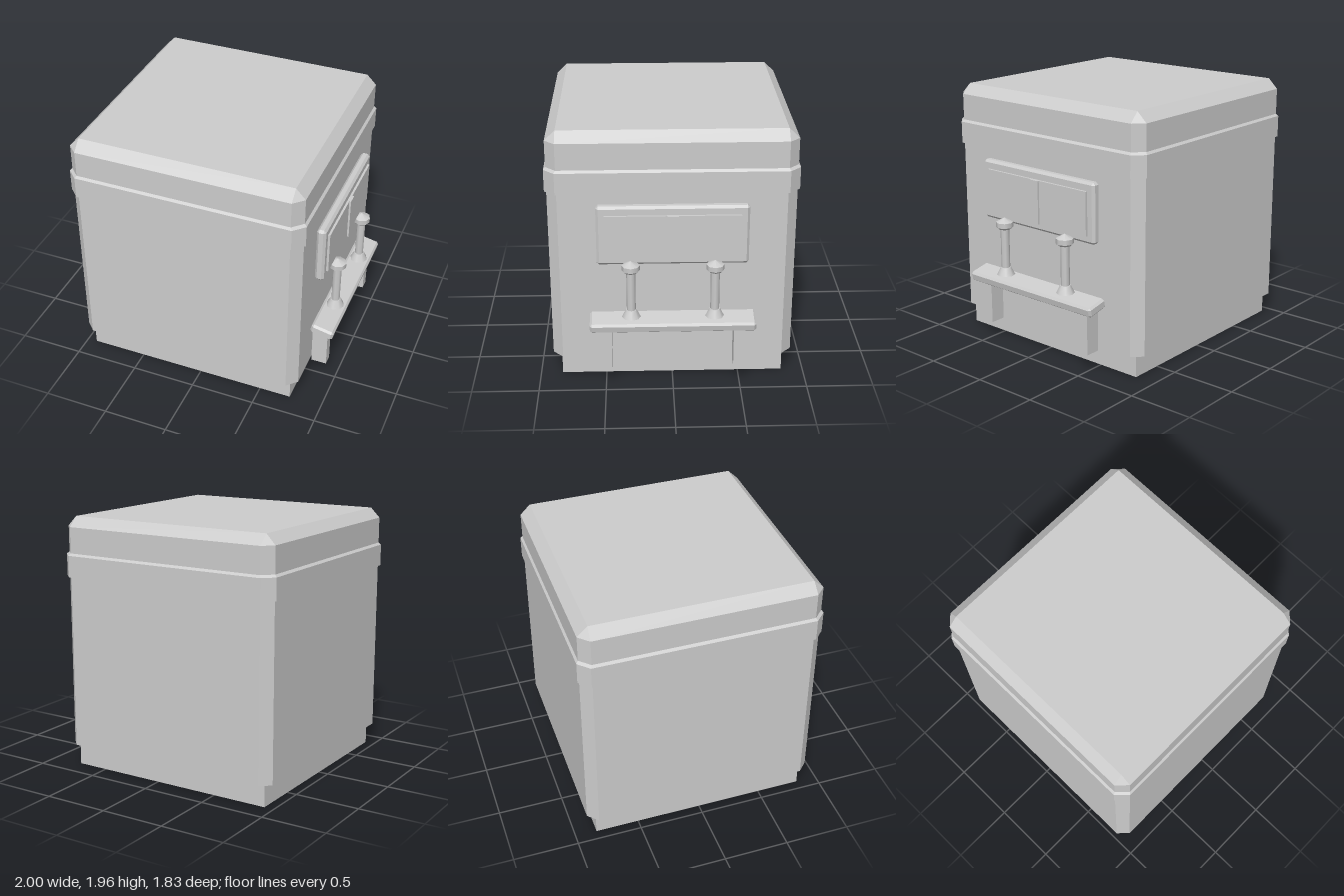
import * as THREE from 'three';

const CX = -0.09; // centre of the booth in x

// Flat-shaded stack of corner-cut rectangles; each row is [y, halfX, halfZ, cornerCut]
function loft(rows, capBottom, capTop) {
  const rings = rows.map(([y, x, z, c]) => [
    [x, z - c], [x, c - z], [x - c, -z], [c - x, -z],
    [-x, c - z], [-x, z - c], [c - x, z], [x - c, z],
  ].map(([px, pz]) => new THREE.Vector3(px, y, pz)));
  const pos = [];
  const tri = (a, b, c) => {
    const area = b.clone().sub(a).cross(c.clone().sub(a)).length();
    if (area > 1e-7) for (const v of [a, b, c]) pos.push(v.x, v.y, v.z);
  };
  for (let i = 0; i + 1 < rings.length; i++) {
    for (let k = 0; k < 8; k++) {
      const n = (k + 1) % 8, lo = rings[i], hi = rings[i + 1];
      tri(lo[k], lo[n], hi[n]);
      tri(lo[k], hi[n], hi[k]);
    }
  }
  const first = rings[0], last = rings[rings.length - 1];
  for (let k = 1; k < 7; k++) {
    if (capTop) tri(last[0], last[k], last[k + 1]);
    if (capBottom) tri(first[0], first[k + 1], first[k]);
  }
  const geo = new THREE.BufferGeometry();
  geo.setAttribute('position', new THREE.Float32BufferAttribute(pos, 3));
  geo.computeVertexNormals();
  return geo;
}

// Box with all edges bevelled by b
function bevelBox(w, h, d, b) {
  const x = w / 2, y = h / 2, z = d / 2;
  return loft([[-y, x - b, z - b, 0], [b - y, x, z, b], [y - b, x, z, b], [y, x - b, z - b, 0]], true, true);
}

export function createModel() {
  const model = new THREE.Group();
  model.name = 'booth';
  const grey = new THREE.MeshStandardMaterial({ color: 0xcccccc, side: THREE.DoubleSide });
  grey.name = 'light grey';

  const add = (name, geo, x, y, z, parent = model) => {
    const mesh = new THREE.Mesh(geo, grey);
    mesh.name = name;
    mesh.position.set(x, y, z);
    parent.add(mesh);
    return mesh;
  };

  // Hollow plinth and body, both open below
  add('plinth', loft([[0, 0.835, 0.835, 0], [0.175, 0.835, 0.835, 0]]), CX, 0, 0);
  add('body', loft([
    [0.175, 0.895, 0.9, 0.075], [1.88, 0.895, 0.9, 0.075], [1.955, 0.822, 0.822, 0],
  ], false, true), CX, 0, 0);

  // Band around the top of the walls
  add('band', loft([
    [1.5, 0.895, 0.9, 0.075], [1.5, 0.912, 0.915, 0.08],
    [1.665, 0.912, 0.915, 0.08], [1.682, 0.895, 0.9, 0.075],
  ]), CX, 0, 0);

  // Roof emblem: ring, disc and cross as thin inlays
  const ring = new THREE.RingGeometry(0.39, 0.485, 20).rotateX(-Math.PI / 2);
  add('roofRing', ring, CX, 1.957, 0);
  const disc = new THREE.CircleGeometry(0.39, 20).rotateX(-Math.PI / 2);
  add('roofDisc', disc, CX, 1.957, 0);
  const cross = new THREE.Shape();
  const a = 0.05, b = 0.313;
  [[a, a], [b, a], [b, -a], [a, -a], [a, -b], [-a, -b], [-a, -a], [-b, -a], [-b, a], [-a, a], [-a, b], [a, b]]
    .reverse()
    .forEach(([x, y], i) => (i ? cross.lineTo(x, y) : cross.moveTo(x, y)));
  add('roofCross', new THREE.ShapeGeometry(cross).rotateX(-Math.PI / 2), CX, 1.959, 0);

  // Side window with two panes and a centre bar
  const windowGroup = new THREE.Group();
  windowGroup.name = 'window';
  model.add(windowGroup);
  add('windowFrame', bevelBox(0.07, 0.455, 1.1, 0.018), 0.84, 1.2, 0, windowGroup);
  add('windowPanes', new THREE.BoxGeometry(0.03, 0.33, 0.98), 0.877, 1.197, 0, windowGroup);
  add('windowBar', new THREE.BoxGeometry(0.03, 0.33, 0.08), 0.891, 1.197, 0, windowGroup);

  // Tilted counter
  const counter = add('counter', bevelBox(0.178, 0.078, 1.22, 0.016), 0.902, 0.522, 0);
  counter.rotation.z = -0.21;

  // Counter legs and the two posts with pointed caps
  for (const s of [1, -1]) {
    add('counterLeg', new THREE.BoxGeometry(0.12, 0.335, 0.08), 0.87, 0.3125, s * 0.49);

    const post = new THREE.Group();
    post.name = 'post';
    post.position.set(0.91, 0, s * 0.305);
    model.add(post);
    const section = (name, rTop, rBottom, y0, y1) =>
      add(name, new THREE.CylinderGeometry(rTop, rBottom, y1 - y0, 8), 0, (y0 + y1) / 2, 0, post);
    section('postBase', 0.04, 0.069, 0.57, 0.63);
    section('postShaft', 0.033, 0.033, 0.63, 0.94);
    section('postCapUnderside', 0.066, 0.05, 0.935, 0.95);
    section('postCapRim', 0.066, 0.066, 0.95, 0.988);
    section('postCapTip', 0, 0.066, 0.988, 1.022);
  }
  return model;
}
